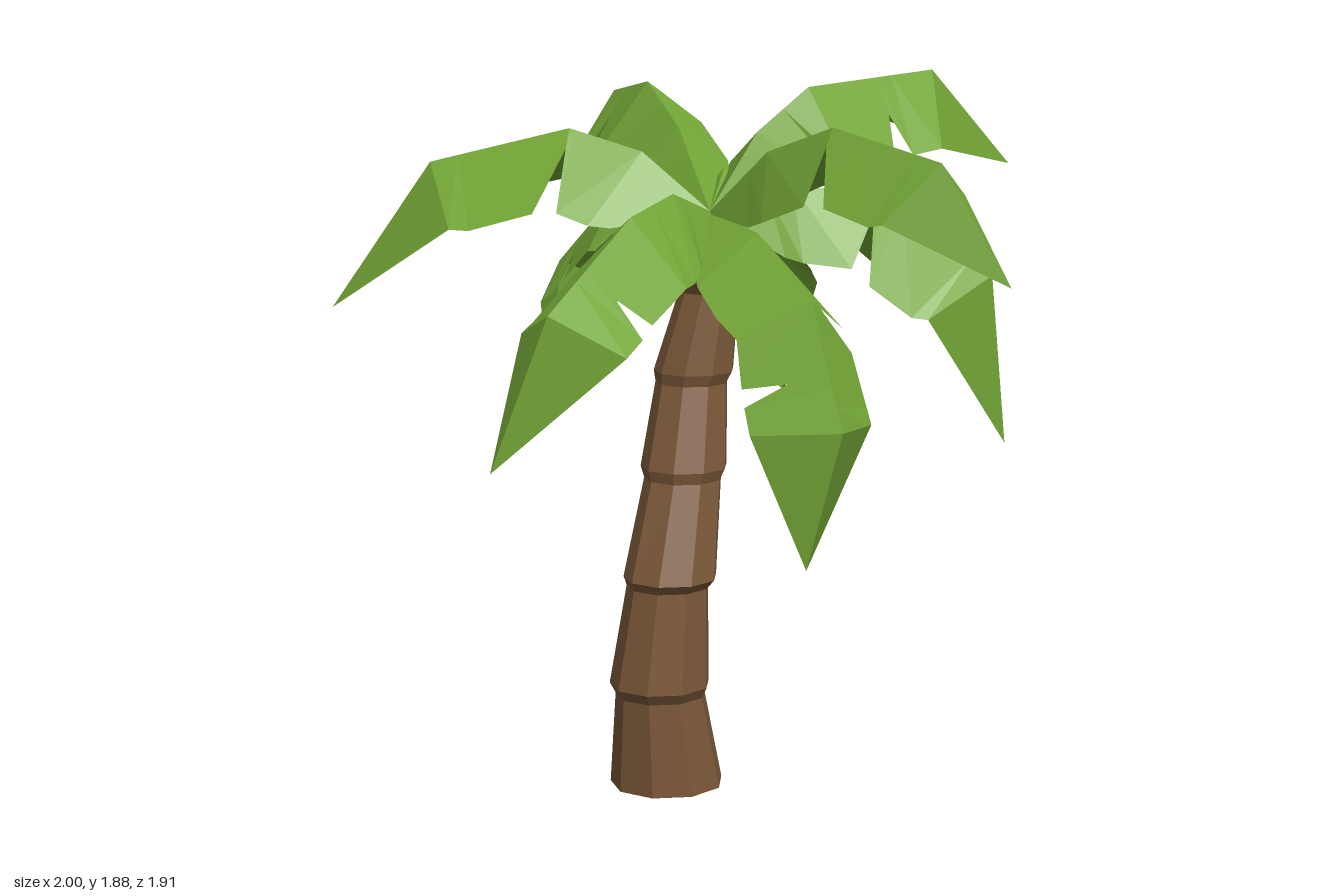
import * as THREE from 'three';

const leafGreen = new THREE.MeshStandardMaterial({ color: 0x76aa38, side: THREE.DoubleSide });
leafGreen.name = 'leaf green';
const barkBrown = new THREE.MeshStandardMaterial({ color: 0x7f5b3b, side: THREE.DoubleSide });
barkBrown.name = 'bark brown';

const V = (x, y, z) => new THREE.Vector3(x, y, z);
const CROWN = V(-0.01, 1.55, 0.16);

// Leaning trunk: rings of [y, x, z, radius], each section overhanging the one below
const RINGS = [
  [0, -0.16, 0.2, 0.152], [0.26, -0.13, 0.24, 0.12], [0.29, -0.125, 0.245, 0.134],
  [0.56, -0.1, 0.235, 0.109], [0.585, -0.092, 0.232, 0.124],
  [0.84, -0.112, 0.175, 0.103], [0.87, -0.114, 0.17, 0.115],
  [1.09, -0.126, 0.135, 0.096], [1.12, -0.123, 0.13, 0.106],
  [1.33, -0.09, 0.103, 0.08], [1.36, -0.085, 0.1, 0.098], [1.54, -0.045, 0.115, 0.05],
];

function makeTrunk() {
  const last = RINGS.length - 1;
  const geo = new THREE.CylinderGeometry(1, 1, 1, 9, last, true);
  const pos = geo.attributes.position;
  for (let i = 0; i < pos.count; i++) {
    const [y, x, z, r] = RINGS[Math.round((pos.getY(i) + 0.5) * last)];
    pos.setXYZ(i, x + pos.getX(i) * r, y, z + pos.getZ(i) * r);
  }
  const flat = geo.toNonIndexed();
  flat.computeVertexNormals();
  const mesh = new THREE.Mesh(flat, barkBrown);
  mesh.name = 'trunk';
  return mesh;
}

// Notched edges: [position along the ridge 0..4, share of the full width]
const EDGES = [
  [[0, 0.05], [0.7, 0.85], [1, 1], [1.95, 1], [2, 0.25], [2.2, 0.95], [2.8, 1], [3, 0.97], [4, 0]],
  [[0, 0.05], [0.7, 0.8], [1, 0.95], [1.5, 1], [2, 1], [2.46, 0.95], [2.54, 0.45], [2.66, 0.97], [3, 1], [4, 0]],
];

// Folded leaf: two sloping halves hung from a bent ridge.
// halves: [spread, drop] of the two sides; flip swaps their notches; flare widens the end
function makeFrond(a, b, tip, halves, flip, flare) {
  const middle = CROWN.clone().lerp(a, 0.48).add(V(0, 0.05, 0));
  const ridge = [CROWN, middle, a, b, tip];
  const at = (t) => {
    const u = THREE.MathUtils.clamp(t, 0, 4), i = Math.min(3, Math.floor(u));
    return ridge[i].clone().lerp(ridge[i + 1], u - i);
  };
  const across = V(tip.z - CROWN.z, 0, CROWN.x - tip.x).normalize();
  const out = [];
  halves.forEach(([spread, drop], half) => {
    const side = half ? -1 : 1;
    const edge = EDGES[(half === 0) === flip ? 1 : 0];
    const rows = edge.map(([t, share]) => {
      const top = at(t);
      const along = at(t + 0.5).sub(at(t - 0.5)).normalize();
      const under = along.clone().cross(across).normalize();
      if (under.y > 0) under.negate();
      const reach = share * (t > 2.1 ? flare : 1);
      const rim = top.clone()
        .addScaledVector(across, side * reach * spread)
        .addScaledVector(under, reach * drop);
      return [top, rim];
    });
    for (let i = 0; i + 1 < rows.length; i++) {
      const [p, q] = rows[i], [r, s] = rows[i + 1];
      const tris = side > 0 ? [p, q, s, p, s, r] : [p, s, q, p, r, s];
      for (const v of tris) out.push(v.x, v.y, v.z);
    }
  });
  const geo = new THREE.BufferGeometry();
  geo.setAttribute('position', new THREE.Float32BufferAttribute(out, 3));
  geo.computeVertexNormals();
  return new THREE.Mesh(geo, leafGreen);
}

// Each frond: two ridge bends, tip, the two halves, notch order, flare
const FRONDS = [
  ['leftFrond', V(0.49, 1.8, 0.16), V(0.83, 1.74, 0.11), V(1, 1.46, 0.04), [[0.15, 0.11], [0.1, 0.18]], true, 1],
  ['backFrond', V(0, 1.85, -0.15), V(-0.01, 1.875, -0.58), V(-0.12, 1.59, -0.96), [[0.21, 0.14], [0.1, 0.21]], false, 1],
  ['rightBackFrond', V(-0.51, 1.84, 0), V(-0.83, 1.79, -0.11), V(-1, 1.51, -0.2), [[0.12, 0.17], [0.15, 0.11]], true, 1],
  ['rightFrontFrond', V(-0.32, 1.75, 0.38), V(-0.65, 1.65, 0.6), V(-0.89, 1.25, 0.77), [[0.15, 0.2], [0.17, 0.13]], false, 1],
  ['frontFrond', V(0.17, 1.58, 0.53), V(0.27, 1.38, 0.84), V(0.18, 1.0, 0.95), [[0.11, 0.19], [0.19, 0.13]], true, 1],
  ['backLeftFrond', V(0.26, 1.59, -0.18), V(0.41, 1.38, -0.43), V(0.39, 0.93, -0.5), [[0.15, 0.15], [0.1, 0.19]], true, 1.12],
  ['lowLeftFrond', V(0.46, 1.38, 0.2), V(0.62, 1.08, 0.23), V(0.53, 0.73, 0.27), [[0.15, 0.15], [0.15, 0.15]], false, 1.12],
  ['lowRightFrond', V(-0.45, 1.56, 0.14), V(-0.8, 1.33, 0.1), V(-0.83, 0.92, 0.12), [[0.14, 0.16], [0.14, 0.14]], true, 1.05],
  ['backRightFrond', V(-0.3, 1.63, -0.15), V(-0.54, 1.38, -0.42), V(-0.58, 0.92, -0.52), [[0.15, 0.16], [0.16, 0.16]], false, 1.15],
];

export function createModel() {
  const tree = new THREE.Group();
  tree.name = 'palmTree';
  tree.add(makeTrunk());
  const crown = new THREE.Group();
  crown.name = 'crown';
  for (const [name, ...shape] of FRONDS) {
    const frond = makeFrond(...shape);
    frond.name = name;
    crown.add(frond);
  }
  tree.add(crown);
  return tree;
}
